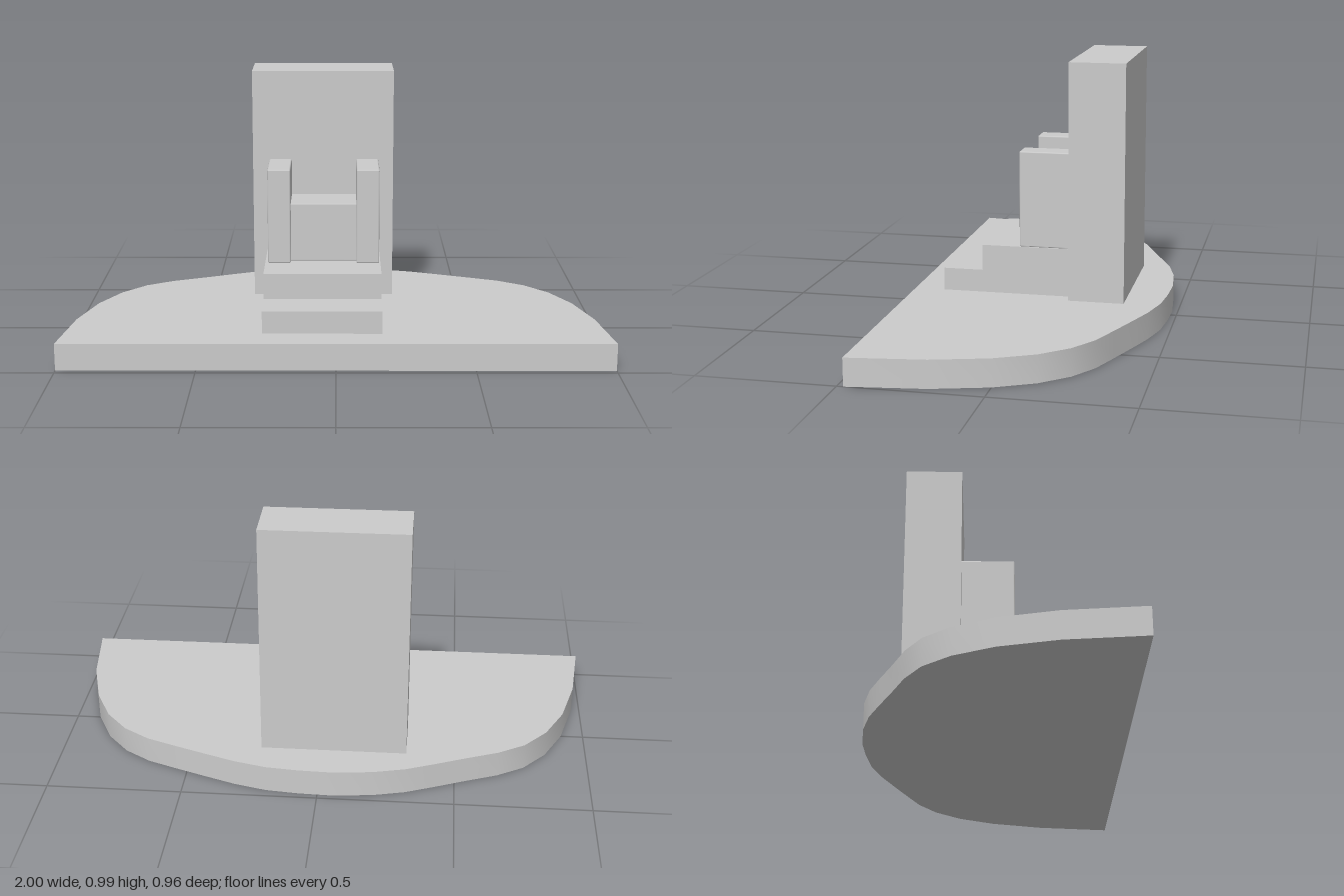
import * as THREE from 'three';
import { toCreasedNormals } from 'three/addons/utils/BufferGeometryUtils.js';
import { RoundedBoxGeometry } from 'three/addons/geometries/RoundedBoxGeometry.js';

const material = new THREE.MeshStandardMaterial({ color: 0xcccccc });

function addMesh(group, name, geometry) {
  const mesh = new THREE.Mesh(geometry, material);
  mesh.name = name;
  group.add(mesh);
  return mesh;
}

// Box given by its limits on each axis; an optional bevel softens the edges
function addBlock(group, name, [x0, x1], [y0, y1], [z0, z1], bevel = 0) {
  const size = [x1 - x0, y1 - y0, z1 - z0];
  const geometry = bevel
    ? new RoundedBoxGeometry(...size, 1, bevel)
    : new THREE.BoxGeometry(...size);
  addMesh(group, name, geometry)
    .position.set((x0 + x1) / 2, (y0 + y1) / 2, (z0 + z1) / 2);
}

export function createModel() {
  const group = new THREE.Group();
  group.name = 'throneOnDais';

  // Dais: straight front edge, curved back
  const outline = [
    [1, 0.477], [0.965, 0.2], [0.91, 0], [0.84, -0.14], [0.755, -0.237],
    [0.655, -0.302], [0.54, -0.347], [0.42, -0.392], [0.31, -0.432],
    [0.19, -0.463], [0.07, -0.475], [-0.05, -0.479], [-0.2, -0.465],
    [-0.32, -0.436], [-0.42, -0.396], [-0.54, -0.345], [-0.66, -0.297],
    [-0.76, -0.237], [-0.845, -0.14], [-0.915, 0], [-0.968, 0.2], [-1, 0.477],
  ];
  const shape = new THREE.Shape(outline.map(([x, z]) => new THREE.Vector2(x, -z)));
  const dais = new THREE.ExtrudeGeometry(shape, { depth: 0.1, bevelEnabled: false });
  dais.rotateX(-Math.PI / 2);
  addMesh(group, 'dais', toCreasedNormals(dais, 0.6));

  // Tall backrest
  const back = -0.122;
  addBlock(group, 'backrest', [-0.32, 0.22], [0.1, 0.985], [-0.33, back]);

  // Two steps up to the seat
  addBlock(group, 'lowerStep', [-0.268, 0.168], [0.1, 0.185], [back, 0.364]);
  addBlock(group, 'upperStep', [-0.268, 0.168], [0.185, 0.282], [back, 0.215]);

  // Seat between two bevelled armrests
  addBlock(group, 'seat', [-0.175, 0.08], [0.282, 0.505], [back, 0.04], 0.004);
  const middle = -0.047;
  for (const [name, side] of [['rightArmrest', -1], ['leftArmrest', 1]]) {
    const x = middle + side * 0.167;
    addBlock(group, name, [x - 0.043, x + 0.043], [0.281, 0.643], [back - 0.006, 0.073], 0.005);
  }

  return group;
}
